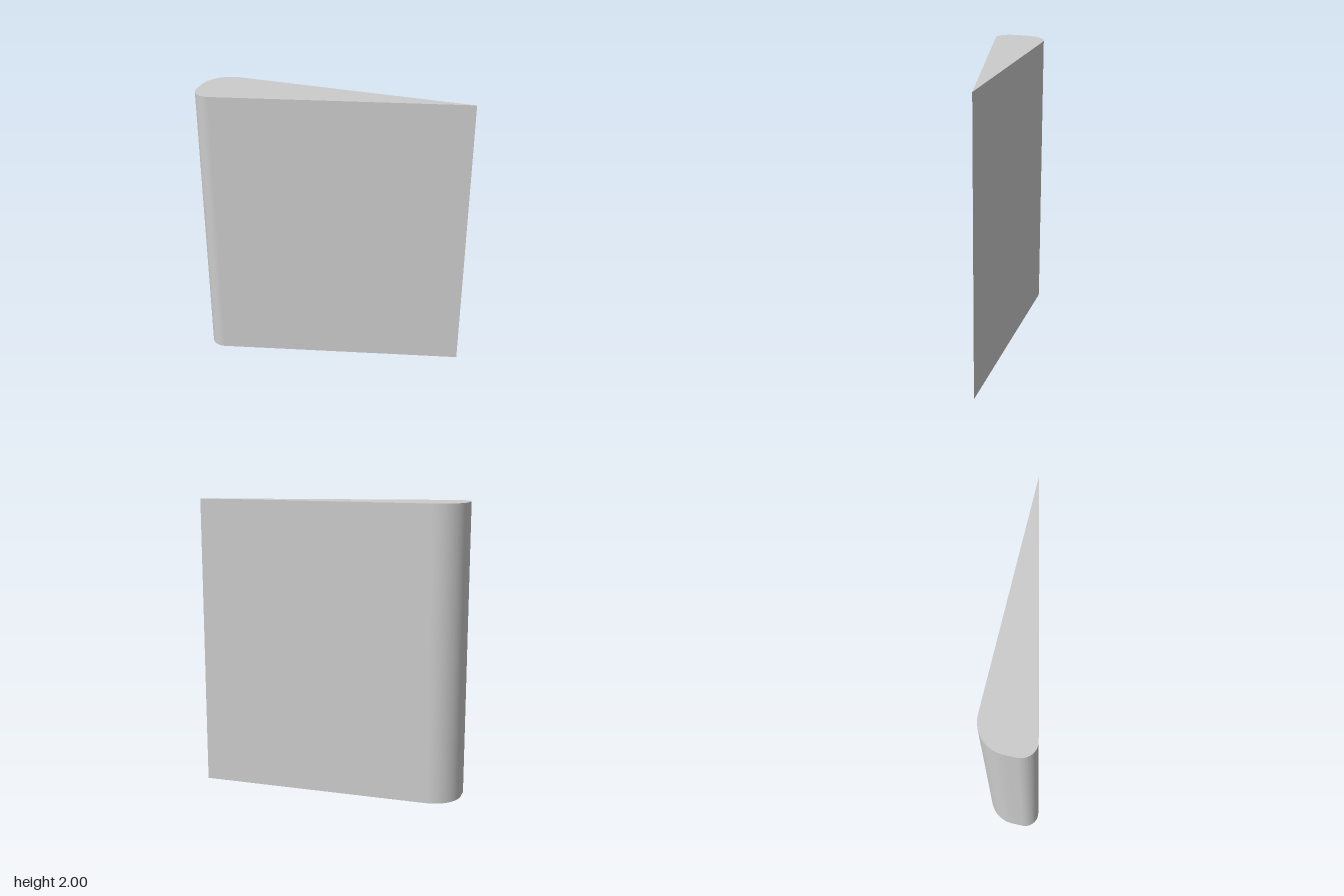
import * as THREE from 'three';
import { toCreasedNormals } from 'three/addons/utils/BufferGeometryUtils.js';

export function createModel() {
  const group = new THREE.Group();
  group.name = 'wedgePanel';

  const halfWidth = 0.9, halfDepth = 0.188, height = 2;
  const backRadius = 0.2, frontRadius = 0.1;

  // Front corner circle, and where the sloping face from the tip touches it
  const cx = -halfWidth + frontRadius, cy = -halfDepth + frontRadius;
  const dx = halfWidth - cx, dy = halfDepth - cy;
  const tangent = Math.atan2(dy, dx) - Math.acos(frontRadius / Math.hypot(dx, dy));

  // Plan outline (shape y becomes -z): flat back, two rounded corners, sloping front
  const outline = new THREE.Shape();
  outline.moveTo(halfWidth, halfDepth);
  outline.lineTo(-halfWidth + backRadius, halfDepth);
  outline.absarc(-halfWidth + backRadius, halfDepth - backRadius, backRadius, Math.PI / 2, Math.PI, false);
  outline.absarc(cx, cy, frontRadius, Math.PI, Math.PI * 2 + tangent, false);
  outline.lineTo(halfWidth, halfDepth);

  // Raise the outline to full height
  const extruded = new THREE.ExtrudeGeometry(outline, { depth: height, bevelEnabled: false, curveSegments: 16 });
  extruded.rotateX(-Math.PI / 2);

  const panel = new THREE.Mesh(
    toCreasedNormals(extruded, 0.5),
    new THREE.MeshStandardMaterial({ color: 0xcccccc })
  );
  panel.name = 'taperedPanel';
  group.add(panel);
  return group;
}
